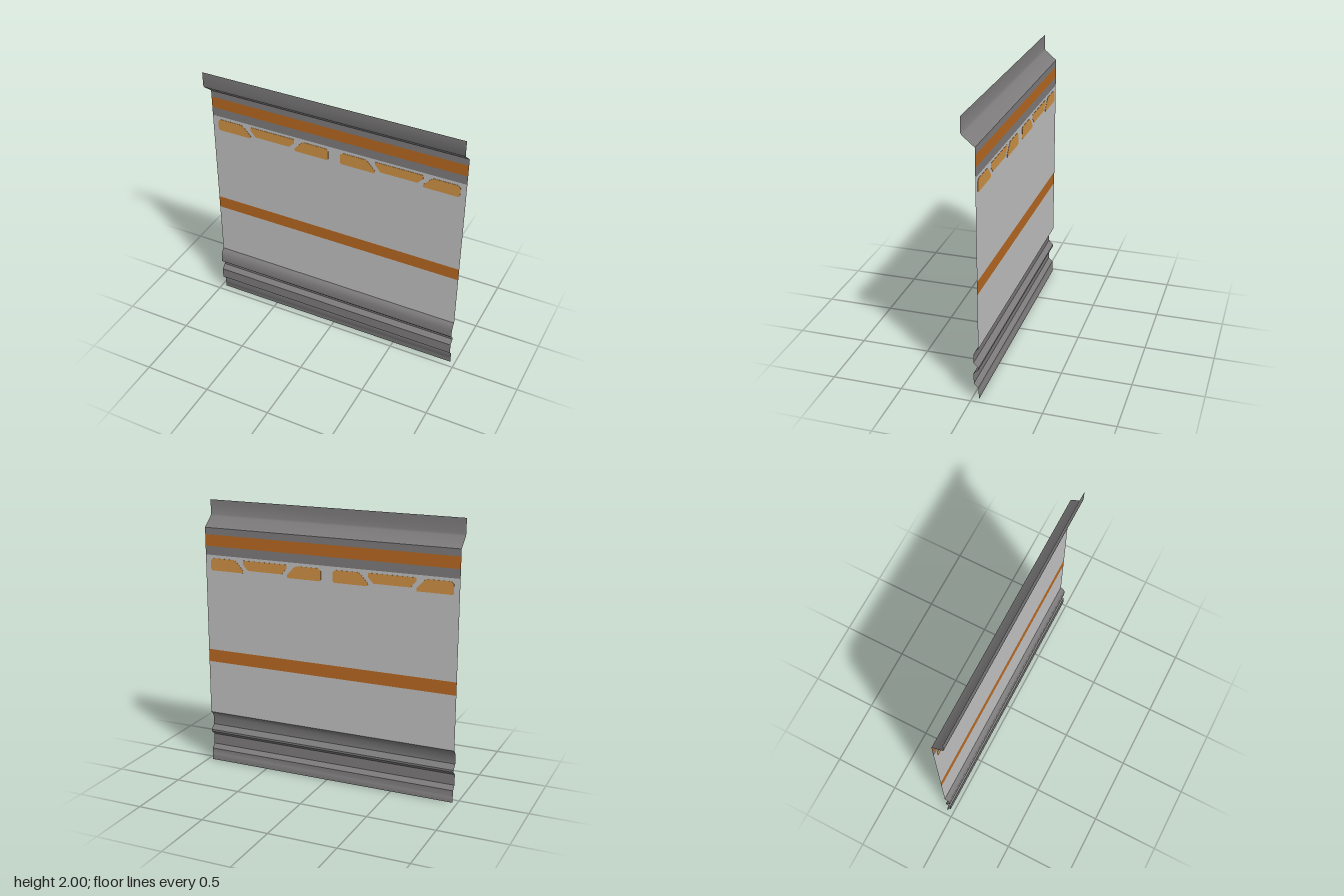
import * as THREE from 'three';
import { toCreasedNormals } from 'three/addons/utils/BufferGeometryUtils.js';

const WIDTH = 1.934;
const WALL = -0.048; // z of the flat wall
const LIP = 0.043; // z of the top flange
const RIB = -0.014; // z of the lower ribs

function mat(name, color) {
  const m = new THREE.MeshStandardMaterial({ color, side: THREE.DoubleSide });
  m.name = name;
  return m;
}

// Sheet spanning the full width along a [y, z] profile, listed top to bottom
function sheet(name, material, profile) {
  const geo = new THREE.PlaneGeometry(WIDTH, 1, 1, profile.length - 1);
  const pos = geo.attributes.position;
  for (let i = 0; i < pos.count; i++) {
    const [y, z] = profile[Math.floor(i / 2)];
    pos.setY(i, y);
    pos.setZ(i, z);
  }
  const mesh = new THREE.Mesh(toCreasedNormals(geo, 0.6), material);
  mesh.name = name;
  return mesh;
}

// Thin plate showing on both faces of the wall
function plate(name, material, points) {
  const shape = new THREE.Shape(points.map(([x, y]) => new THREE.Vector2(x, y)));
  const geo = new THREE.ExtrudeGeometry(shape, { depth: 0.004, bevelEnabled: false });
  const mesh = new THREE.Mesh(geo, material);
  mesh.position.z = WALL - 0.002;
  mesh.name = name;
  return mesh;
}

export function createModel() {
  const group = new THREE.Group();
  group.name = 'wallPanel';
  const darkGrey = mat('darkGrey', 0x7e7c7d);
  const lightGrey = mat('lightGrey', 0xc2c2c2);
  const orange = mat('orange', 0xb86922);
  const amber = mat('amber', 0xd09347);

  // Top flange, stepped forward from the wall
  group.add(sheet('topFlange', darkGrey, [
    [2, LIP], [1.895, LIP], [1.88, LIP - 0.007], [1.81, WALL], [1.76, WALL],
  ]));

  // Flat wall bands: name, material, top, bottom
  const bands = [
    ['upperStripe', orange, 1.76, 1.675],
    ['upperTrim', darkGrey, 1.675, 1.61],
    ['upperWall', lightGrey, 1.61, 0.89],
    ['middleStripe', orange, 0.89, 0.795],
    ['lowerWall', lightGrey, 0.795, 0.39],
  ];
  for (const [name, material, top, bottom] of bands) {
    group.add(sheet(name, material, [[top, WALL], [bottom, WALL]]));
  }

  // Ribbed skirting
  group.add(sheet('ribbedBase', darkGrey, [
    [0.39, WALL], [0.375, -0.03], [0.345, RIB], [0.28, RIB],
    [0.245, WALL], [0.23, WALL], [0.2, RIB], [0.12, RIB],
    [0.09, WALL + 0.003], [0.045, WALL + 0.003], [0.04, WALL], [0, WALL],
  ]));

  // Painted panels: two mirrored sets of three
  const end = [
    [-0.925, 1.505], [-0.915, 1.496], [-0.665, 1.496], [-0.66, 1.515],
    [-0.715, 1.575], [-0.735, 1.587], [-0.905, 1.587], [-0.925, 1.57],
  ];
  const middle = [
    [-0.62, 1.518], [-0.35, 1.518], [-0.31, 1.56],
    [-0.31, 1.59], [-0.66, 1.59], [-0.66, 1.565],
  ];
  const mirrored = end.map(([x, y]) => [-0.97 - x, y]);
  for (const shift of [0, 0.97]) {
    for (const points of [end, middle, mirrored]) {
      group.add(plate('paintedPanel', amber, points.map(([x, y]) => [x + shift, y])));
    }
  }
  return group;
}
